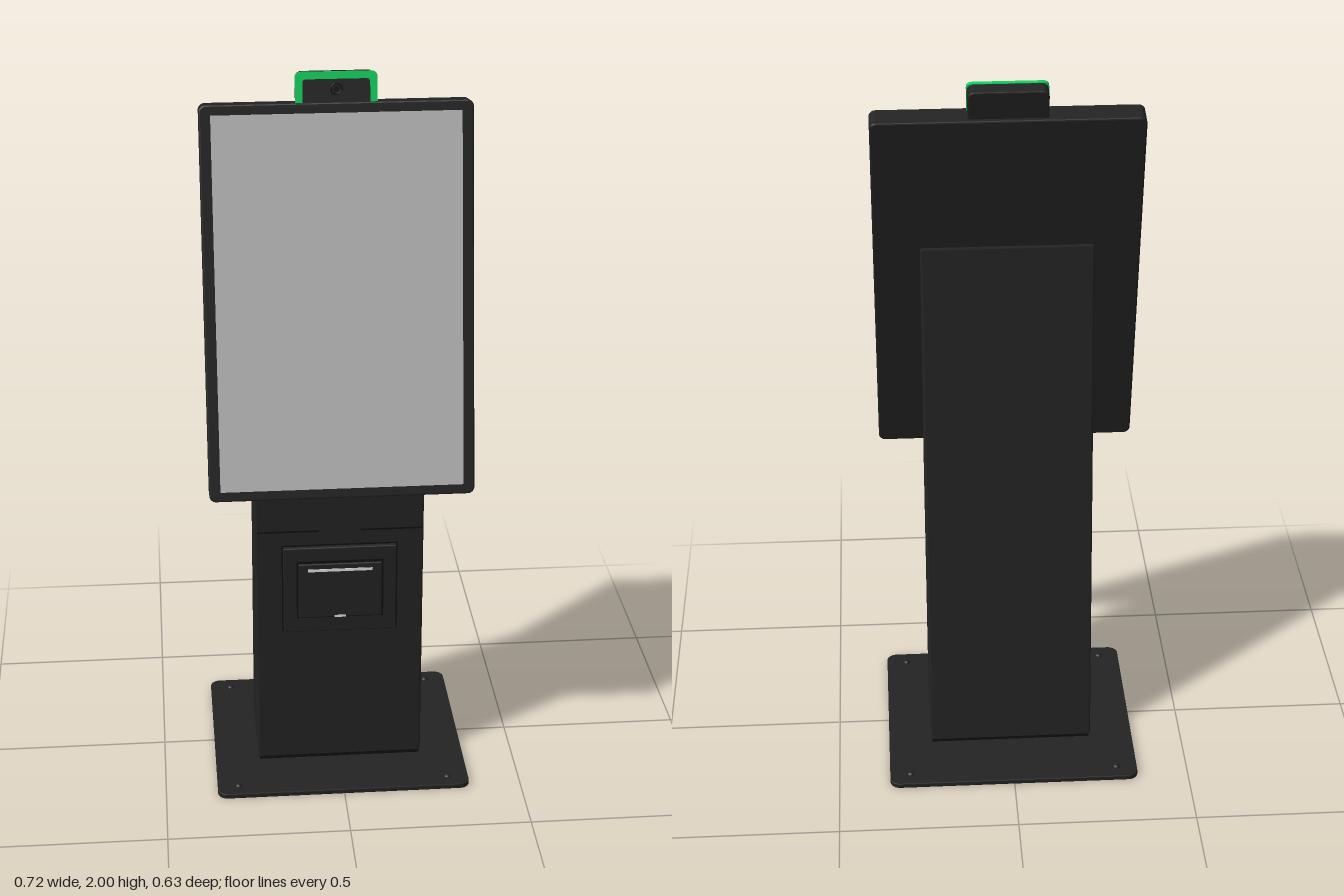
import * as THREE from 'three';
import { RoundedBoxGeometry } from 'three/addons/geometries/RoundedBoxGeometry.js';

const mat = (name, color) => {
  const m = new THREE.MeshStandardMaterial({ color });
  m.name = name;
  return m;
};

// Rounded rectangle outline centred on (0, cy)
function roundedRect(w, h, r, cy = 0) {
  const s = new THREE.Shape();
  const x = w / 2, y = h / 2;
  s.absarc(x - r, cy + y - r, r, 0, Math.PI / 2);
  s.absarc(-x + r, cy + y - r, r, Math.PI / 2, Math.PI);
  s.absarc(-x + r, cy - y + r, r, Math.PI, Math.PI * 1.5);
  s.absarc(x - r, cy - y + r, r, Math.PI * 1.5, Math.PI * 2);
  s.closePath();
  return s;
}

// Extrusion of exact total depth, centred on z = 0, with a small bevel
function slab(shape, depth, bevel) {
  const g = new THREE.ExtrudeGeometry(shape, {
    depth: depth - 2 * bevel, bevelEnabled: bevel > 0, bevelThickness: bevel,
    bevelSize: bevel, bevelOffset: -bevel, bevelSegments: 2, curveSegments: 6,
  });
  return g.translate(0, 0, -depth / 2 + bevel);
}

export function createModel() {
  const black = mat('black casing', 0x242424);
  const dark = mat('dark seams', 0x101010);
  const grey = mat('screen grey', 0xbdbdbd);
  const white = mat('slot white', 0xe8e8e8);
  const green = mat('signal green', 0x0bd05c);

  const model = new THREE.Group();
  model.name = 'kiosk';
  const add = (parent, name, geometry, material, x = 0, y = 0, z = 0) => {
    const m = new THREE.Mesh(geometry, material);
    m.name = name;
    m.position.set(x, y, z);
    parent.add(m);
    return m;
  };
  const box = (w, h, d) => new THREE.BoxGeometry(w, h, d);

  // Floor plate with four domed bolts
  add(model, 'basePlate', slab(roundedRect(0.71, 0.635, 0.028), 0.014, 0.002).rotateX(-Math.PI / 2),
    black, 0, 0.007, -0.0025);
  for (const x of [-0.296, 0.296]) for (const z of [-0.275, 0.272]) {
    const dome = new THREE.SphereGeometry(0.01, 16, 6, 0, Math.PI * 2, 0, Math.PI / 2);
    add(model, 'baseBolt', dome.scale(1, 0.7, 1), black, x, 0.014, z);
  }

  // Wedge-shaped pedestal, side profile in (z, y)
  const side = new THREE.Shape([
    [-0.132, 0.026], [0.14, 0.026], [0.14, 0.86], [0.036, 1.53], [0.02, 1.53],
  ].map(([z, y]) => new THREE.Vector2(z, y)));
  add(model, 'pedestal', slab(side, 0.466, 0.005).rotateY(-Math.PI / 2), black);
  add(model, 'pedestalFoot', box(0.458, 0.016, 0.264), dark, 0, 0.02, 0.004);

  // Door seam on the pedestal front
  for (const s of [-1, 1]) add(model, 'doorSeam', box(0.17, 0.005, 0.002), dark, s * 0.143, 0.74, 0.14);

  // Receipt printer
  const printer = new THREE.Group();
  printer.name = 'printer';
  printer.position.set(0, 0.565, 0.14);
  model.add(printer);
  add(printer, 'printerSurround', box(0.322, 0.268, 0.004), dark);
  add(printer, 'printerFrame', new RoundedBoxGeometry(0.314, 0.26, 0.03, 2, 0.003), black);
  add(printer, 'printerRecess', box(0.242, 0.176, 0.004), dark, 0, 0.002, 0.0145);
  add(printer, 'printerDoor', new RoundedBoxGeometry(0.232, 0.166, 0.016, 2, 0.003), black, 0, 0, 0.014);
  add(printer, 'paperSlot', box(0.18, 0.008, 0.003), white, 0, 0.064, 0.022);
  add(printer, 'printerLabel', box(0.032, 0.006, 0.003), white, 0, -0.08, 0.022);

  // Tilted display
  const display = new THREE.Group();
  display.name = 'display';
  display.position.set(0, 1.3975, 0.1025);
  display.rotation.x = -10.5 * Math.PI / 180;
  model.add(display);
  add(display, 'displayHousing', slab(roundedRect(0.716, 1.06, 0.018), 0.07, 0.004), black);
  add(display, 'screen', box(0.656, 1.006, 0.004), grey, 0, 0, 0.0342);

  // Camera module with a green signal arch
  add(display, 'cameraHousing', slab(roundedRect(0.21, 0.1, 0.018, 0.558), 0.046, 0.003),
    black, 0, 0, 0.001);
  const arch = new THREE.Shape();
  arch.moveTo(-0.107, 0.53);
  arch.lineTo(-0.107, 0.593);
  arch.quadraticCurveTo(-0.107, 0.609, -0.091, 0.609);
  arch.lineTo(0.091, 0.609);
  arch.quadraticCurveTo(0.107, 0.609, 0.107, 0.593);
  arch.lineTo(0.107, 0.53);
  arch.lineTo(0.088, 0.53);
  arch.lineTo(0.088, 0.58);
  arch.quadraticCurveTo(0.088, 0.59, 0.078, 0.59);
  arch.lineTo(-0.078, 0.59);
  arch.quadraticCurveTo(-0.088, 0.59, -0.088, 0.58);
  arch.lineTo(-0.088, 0.53);
  arch.closePath();
  add(display, 'signalArch', slab(arch, 0.012, 0), green, 0, 0, 0.026);
  add(display, 'cameraFace', slab(roundedRect(0.176, 0.07, 0.01, 0.555), 0.008, 0), black, 0, 0, 0.027);
  add(display, 'lensRing', new THREE.TorusGeometry(0.014, 0.002, 8, 24), dark, 0, 0.564, 0.031);
  add(display, 'lens', new THREE.CylinderGeometry(0.008, 0.008, 0.004, 20).rotateX(Math.PI / 2),
    dark, 0, 0.564, 0.031);

  return model;
}
